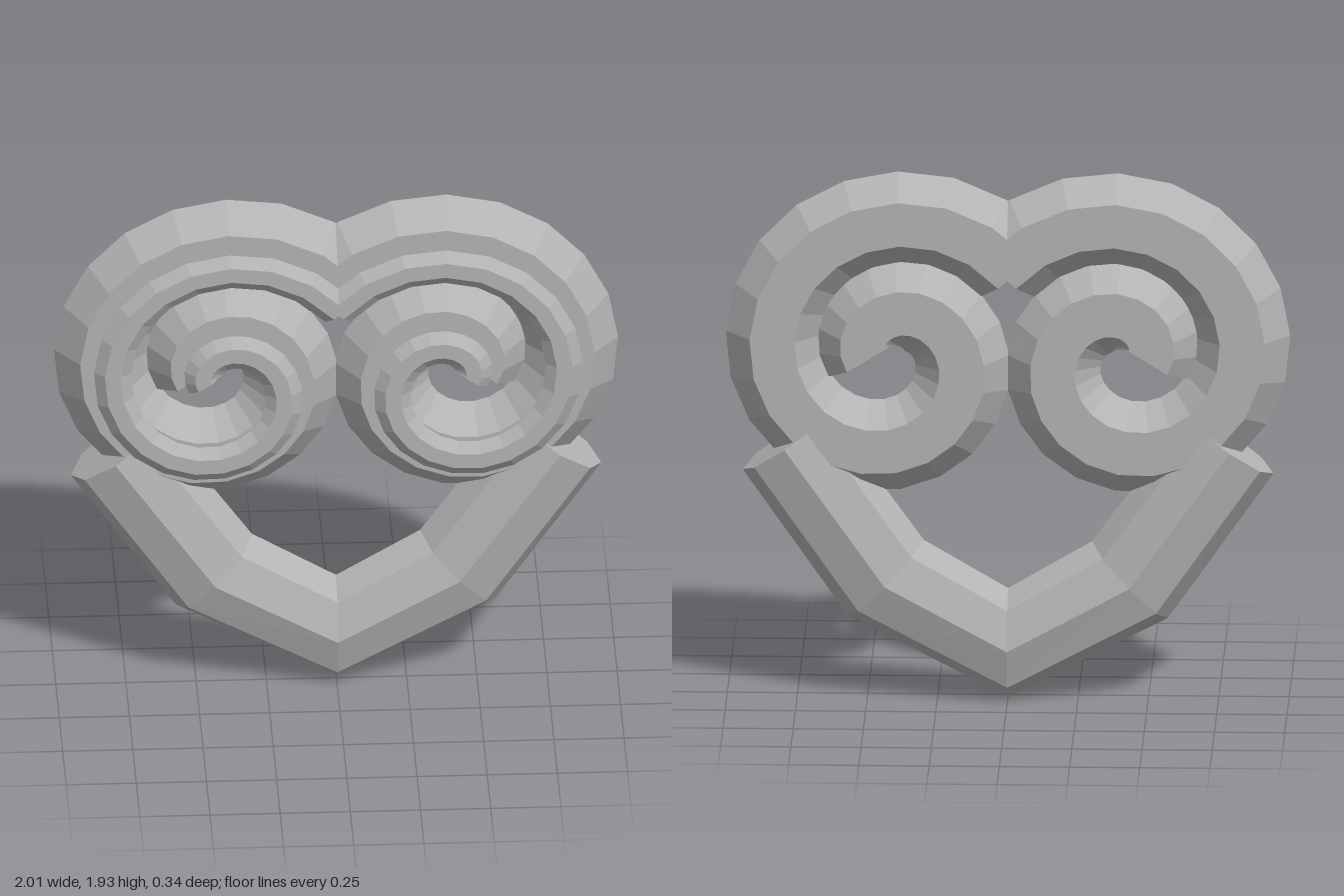
import * as THREE from 'three';

const stone = new THREE.MeshStandardMaterial({ color: 0xb3b3b3 });
stone.name = 'stone grey';

// Sweep a closed profile [u, z] along stations { x, y, nx, ny } in the xy plane.
// u runs along the station's outward normal; both ends are capped; facets stay flat.
function sweep(name, stations, profile) {
  const rings = stations.map(s => profile.map(([u, z]) => [s.x + s.nx * u, s.y + s.ny * u, z]));
  const pos = [];
  const tri = (a, b, c) => pos.push(...a, ...b, ...c);
  const n = profile.length;
  for (let i = 0; i < rings.length - 1; i++) {
    for (let j = 0; j < n; j++) {
      const k = (j + 1) % n;
      const a = rings[i][j], b = rings[i + 1][j], c = rings[i + 1][k], d = rings[i][k];
      tri(a, b, c);
      tri(a, c, d);
    }
  }
  const first = rings[0], last = rings[rings.length - 1];
  for (let j = 1; j < n - 1; j++) {
    tri(first[0], first[j], first[j + 1]);
    tri(last[0], last[j + 1], last[j]);
  }
  const geo = new THREE.BufferGeometry();
  geo.setAttribute('position', new THREE.Float32BufferAttribute(pos, 3));
  geo.computeVertexNormals();
  const mesh = new THREE.Mesh(geo, stone);
  mesh.name = name;
  return mesh;
}

// Mirrored stations, reversed so the faces still point outwards
const mirror = st => st.map(s => ({ ...s, x: -s.x, nx: -s.nx })).reverse();

// Six-sided bar: ridge half-width, flat half-width, half-depth, in-plane shift, centre z
const hexagon = (ridge, flat, depth, shift, z) => [
  [ridge, 0], [flat, -depth], [-flat, -depth], [-ridge, 0], [-flat, depth], [flat, depth],
].map(([u, w]) => [u + shift, w + z]);

// Clockwise spiral that winds inwards at a constant rate
function spiralStations() {
  const steps = 30, start = Math.PI * 0.8, turn = Math.PI * 2.8, rate = 0.0528;
  const out = [];
  for (let i = 0; i <= steps; i++) {
    const a = start - turn * i / steps;
    const r = 0.5 + rate * (a - Math.PI / 2);
    const na = a - Math.atan2(rate, r);
    out.push({
      x: 0.417 + r * Math.cos(a), y: 1.26 + r * Math.sin(a),
      nx: Math.cos(na), ny: Math.sin(na),
    });
  }
  return out;
}

export function createModel() {
  const group = new THREE.Group();
  group.name = 'scrollOrnament';

  // Pair of thick scrolls, each with a thin trim scroll floating in front
  const left = spiralStations();
  for (const [side, st] of [['left', left], ['right', mirror(left)]]) {
    group.add(sweep(side + 'Scroll', st, hexagon(0.168, 0.08, 0.11, 0, -0.03)));
    group.add(sweep(side + 'FrontTrim', st, hexagon(0.066, 0.028, 0.032, -0.032, 0.14)));
  }

  // Eight-sided bent bar that closes the heart below
  const half = [
    { x: 0.792, y: 0.937, nx: 0.153, ny: -0.107 },
    { x: 0.435, y: 0.435, nx: 0.135, ny: -0.14 },
  ];
  const bar = [...half, { x: 0, y: 0.2, nx: 0, ny: -0.2 }, ...mirror(half)];
  const octagon = [];
  for (let i = 0; i < 8; i++) {
    const a = -i * Math.PI / 4;
    octagon.push([Math.cos(a), Math.sin(a) * 0.14 - 0.03]);
  }
  group.add(sweep('lowerBar', bar, octagon));

  return group;
}
